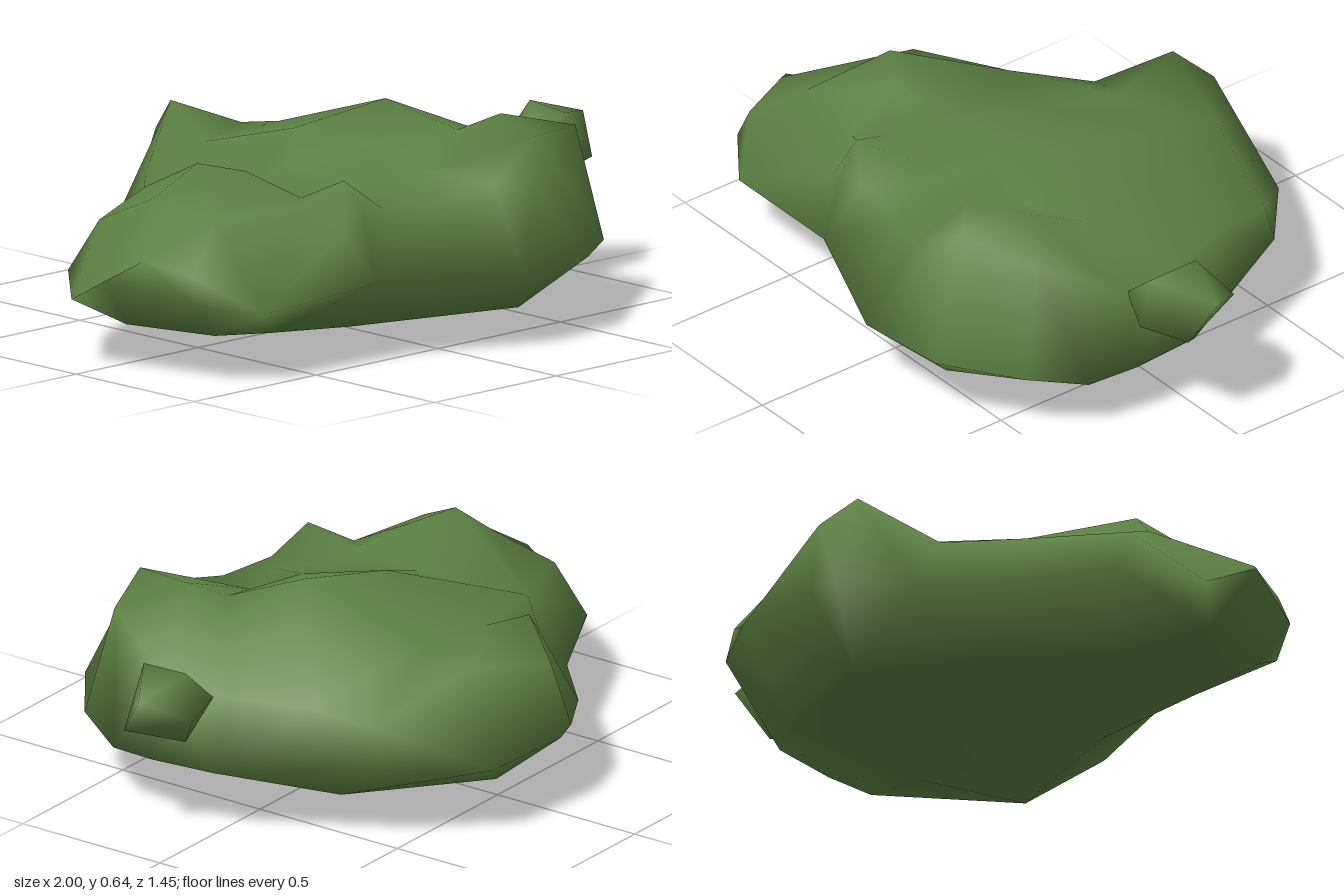
import * as THREE from 'three';
import { mergeVertices } from 'three/addons/utils/BufferGeometryUtils.js';
import { ConvexGeometry } from 'three/addons/geometries/ConvexGeometry.js';

// Widest contour of the bush, as x, y, z
const RIM = [
  [-1, .30, .12], [-.96, .21, -.06], [-.79, .24, -.25], [-.47, .23, -.41], [-.28, .23, -.59],
  [-.08, .25, -.71], [0, .24, -.73], [.3, .23, -.70], [.57, .28, -.47], [.76, .21, -.02],
  [.765, .2, .2], [.74, .19, .36], [.65, .23, .53], [.43, .24, .69], [.14, .24, .72],
  [-.29, .25, .54], [-.73, .22, .51], [-.89, .25, .39],
];

// Humps and hollows of the upper side
const CROWN = [
  [-.57, .58, .07], [-.45, .55, .15], [-.68, .48, 0], [-.92, .36, .2], [-.7, .46, .28],
  [-.87, .33, .36], [-.42, .46, .33], [-.33, .47, .03], [-.345, .475, .17], [-.35, .475, .28],
  [-.3, .54, .41], [-.355, .4, .46], [-.285, .47, .47], [-.2, .45, .47], [-.18, .48, .29],
  [-.08, .48, .36], [0, .45, .5], [-.19, .5, .05], [-.06, .585, -.05], [.24, .64, .03],
  [.06, .56, .17], [.33, .565, .24], [.42, .615, .33], [.61, .57, .45], [.36, .59, .54],
  [.17, .48, .56], [.11, .49, .32], [.46, .54, .16], [.69, .42, .2], [.67, .42, -.02],
  [.735, .33, .1], [.6, .42, -.25], [.555, .39, -.45], [.2, .48, -.54], [-.05, .58, -.58],
  [0, .47, -.695], [-.27, .41, -.46], [-.08, .49, -.4], [.2, .51, -.38], [-.45, .43, -.28],
  [-.75, .4, -.16], [.27, .47, .63],
];

// Shallow keel of the underside
const BELLY = [
  [.29, 0, .08], [.29, .085, .54], [.02, .06, -.51], [-.62, .08, -.06], [-.2, .07, .33],
  [-.3, .075, -.3], [.48, .11, -.28], [-.86, .14, .07], [-.78, .14, .36], [-.55, .11, .35],
];

function insideRim(x, z) {
  let inside = false;
  RIM.forEach(([ax, , az], i) => {
    const [bx, , bz] = RIM[(i + 1) % RIM.length];
    if ((az > z) !== (bz > z) && x < ax + (bx - ax) * (z - az) / (bz - az)) inside = !inside;
  });
  return inside;
}

// Joins scattered points into a skin: the lower hull of points lifted onto a bowl is their Delaunay mesh
function skin(points, facesUp) {
  const key = (x, z) => Math.round(x * 1000) + ',' + Math.round(z * 1000);
  const heights = new Map(points.map(([x, y, z]) => [key(x, z), y]));
  const hull = new ConvexGeometry(points.map(([x, , z]) => new THREE.Vector3(x, x * x + z * z, z)));
  const pos = hull.attributes.position, out = [];
  for (let i = 0; i < pos.count; i += 3) {
    const tri = [0, 1, 2].map(k => [pos.getX(i + k), pos.getZ(i + k)]);
    const [a, b, c] = tri;
    const turn = (b[1] - a[1]) * (c[0] - a[0]) - (b[0] - a[0]) * (c[1] - a[1]);
    const mid = [0, 1].map(k => (a[k] + b[k] + c[k]) / 3);
    if (turn >= 0 || !insideRim(mid[0], mid[1])) continue;
    if (facesUp) tri.reverse();
    for (const [x, z] of tri) out.push(x, heights.get(key(x, z)), z);
  }
  return out;
}

function smooth(geometry) {
  geometry.deleteAttribute('normal');
  const merged = mergeVertices(geometry, 1e-4);
  merged.computeVertexNormals();
  return merged;
}

export function createModel() {
  const model = new THREE.Group();
  model.name = 'bush';
  const leafGreen = new THREE.MeshStandardMaterial({ color: 0x5c8142 });
  leafGreen.name = 'leaf green';

  // Main foliage mass
  const body = new THREE.BufferGeometry();
  const faces = [...skin([...RIM, ...CROWN], true), ...skin([...RIM, ...BELLY], false)];
  body.setAttribute('position', new THREE.Float32BufferAttribute(faces, 3));
  const foliage = new THREE.Mesh(smooth(body), leafGreen);
  foliage.name = 'foliage';

  // Small faceted sprig on the left side, narrowing into the foliage
  const sprigPoints = [
    [.68, .41, .04], [.68, .41, .17], [.72, .32, .1], [.83, .54, .03], [.82, .53, .19],
    [.91, .43, -.05], [.79, .30, .06], [.78, .35, .2], [1, .49, .08], [.96, .37, .16],
  ].map(p => new THREE.Vector3(...p));
  const sprig = new THREE.Mesh(smooth(new ConvexGeometry(sprigPoints)), leafGreen);
  sprig.name = 'sprig';

  model.add(foliage, sprig);
  return model;
}
